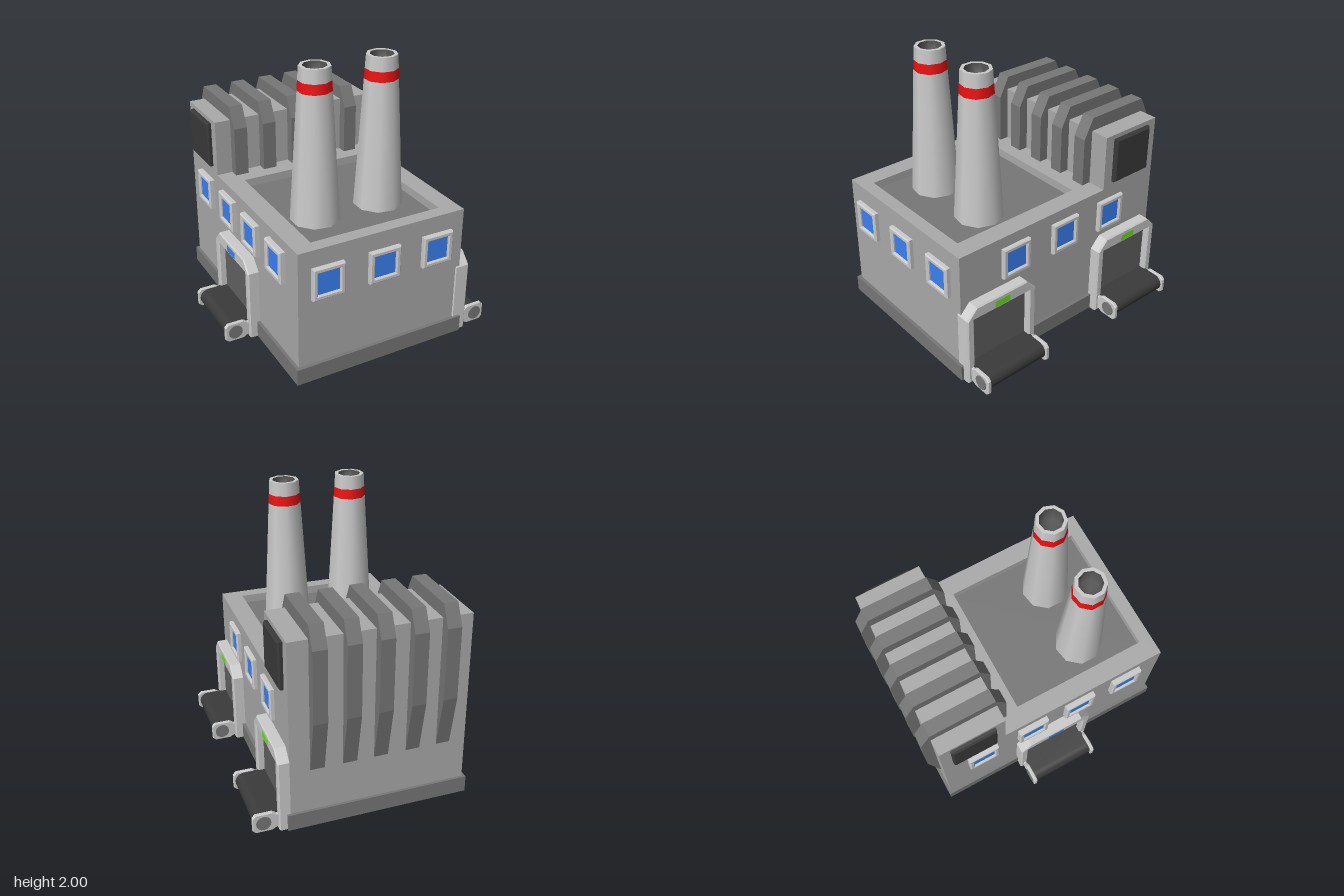
import * as THREE from 'three';
import { mergeGeometries, toCreasedNormals } from 'three/addons/utils/BufferGeometryUtils.js';

const mat = (color, side = THREE.FrontSide) => new THREE.MeshStandardMaterial({ color, side });
const M = {
  light: mat(0xcccccc), wall: mat(0xaaaaaa, THREE.DoubleSide), dark: mat(0x777777),
  door: mat(0x626262), black: mat(0x3a3a3a), glass: mat(0x3b82f6), red: mat(0xf01010),
  green: mat(0x70e028), stack: mat(0xcccccc, THREE.DoubleSide), soot: mat(0x555555, THREE.DoubleSide),
};

function add(parent, name, geometry, material, x = 0, y = 0, z = 0) {
  const mesh = new THREE.Mesh(geometry, material);
  mesh.name = name;
  mesh.position.set(x, y, z);
  parent.add(mesh);
  return mesh;
}

const shapeOf = pts => new THREE.Shape(pts.map(p => new THREE.Vector2(...p)));
const rect = (x0, x1, y0, y1) => [[x0, y0], [x1, y0], [x1, y1], [x0, y1]];

function extrude(shape, depth, bevel = 0) {
  return new THREE.ExtrudeGeometry(shape, {
    depth: depth - 2 * bevel, curveSegments: 8, bevelEnabled: bevel > 0, bevelSegments: 1,
    bevelSize: bevel, bevelThickness: bevel, bevelOffset: -bevel,
  }).translate(0, 0, bevel);
}

// Flat four-cornered panel, corners counter-clockwise seen from outside
function quad(...corners) {
  const g = new THREE.BufferGeometry();
  g.setAttribute('position', new THREE.Float32BufferAttribute([0, 1, 2, 0, 2, 3].flatMap(i => corners[i]), 3));
  g.computeVertexNormals();
  return g;
}

// Building shell, open underneath, with a raised rear block and a sunken roof
function buildShell() {
  const W = 0.63, F = 0.905, S = -0.37, B = -0.86, H = 0.98, T = 1.39;
  const panels = [
    quad([-W, 0, F], [W, 0, F], [W, H, F], [-W, H, F]),
    quad([W, 0, B], [-W, 0, B], [-W, T, B], [W, T, B]),
    quad([-W, H, S], [W, H, S], [W, T, S], [-W, T, S]),
    quad([-W, T, S], [W, T, S], [W, T, B], [-W, T, B]),
    quad([W, 0, F], [W, 0, S], [W, H, S], [W, H, F]),
    quad([W, 0, S], [W, 0, B], [W, T, B], [W, T, S]),
    quad([-W, 0, S], [-W, 0, F], [-W, H, F], [-W, H, S]),
    quad([-W, 0, B], [-W, 0, S], [-W, T, S], [-W, T, B]),
  ];
  // Roof rim and the inner walls of the sunken part
  const r = 0.49, f = 0.81, b = -0.2, D = 0.92;
  const outer = [[-W, F], [W, F], [W, S], [-W, S]];
  const inner = [[-r, f], [r, f], [r, b], [-r, b]];
  for (let i = 0; i < 4; i++) {
    const j = (i + 1) % 4;
    const at = (p, y) => [p[0], y, p[1]];
    panels.push(quad(at(outer[i], H), at(outer[j], H), at(inner[j], H), at(inner[i], H)));
    panels.push(quad(at(inner[i], H), at(inner[j], H), at(inner[j], D), at(inner[i], D)));
  }
  return mergeGeometries(panels);
}

function makeWindow(x, y, z, turn) {
  const g = new THREE.Group();
  g.name = 'window';
  const frame = shapeOf(rect(-0.117, 0.117, -0.117, 0.117));
  frame.holes.push(shapeOf(rect(-0.082, 0.082, -0.082, 0.082)));
  add(g, 'windowFrame', extrude(frame, 0.06, 0.008), M.light, 0, 0, -0.025);
  add(g, 'windowBack', new THREE.BoxGeometry(0.2, 0.2, 0.02), M.light, 0, 0, -0.014);
  add(g, 'windowPane', new THREE.BoxGeometry(0.19, 0.19, 0.02), M.glass, 0, 0, 0.008);
  g.position.set(x, y, z);
  g.rotation.y = turn;
  return g;
}

// Loading door with its conveyor; local +z points out of the wall
function makeDoor(z, turn, lamp) {
  const g = new THREE.Group();
  g.name = 'loadingDoor';
  const w = 0.292, i = 0.236;
  const frame = shapeOf([[-w, 0], [-i, 0], [-i, 0.515], [i, 0.515], [i, 0], [w, 0],
    [w, 0.525], [0.215, 0.607], [-0.215, 0.607], [-w, 0.525]]);
  add(g, 'doorFrame', extrude(frame, 0.115, 0.009), M.light, 0, 0, 0.595);
  add(g, 'doorPanel', new THREE.BoxGeometry(0.48, 0.52, 0.04), M.door, 0, 0.26, 0.64);
  add(g, 'doorLamp', new THREE.BoxGeometry(0.128, 0.048, 0.01), lamp, 0, 0.555, 0.707);

  // Belt with a rounded outer end
  const belt = new THREE.Shape();
  belt.moveTo(0.58, 0.012);
  belt.lineTo(0.812, 0.012);
  belt.absarc(0.812, 0.074, 0.062, -Math.PI / 2, Math.PI / 2, false);
  belt.lineTo(0.58, 0.136);
  const beltGeo = toCreasedNormals(extrude(belt, 0.5).translate(0, 0, -0.25).rotateY(-Math.PI / 2), 0.7);
  add(g, 'conveyorBelt', beltGeo, M.black);

  // Side plates with axle caps
  const plate = shapeOf([[0.58, 0.02], [0.72, 0.02], [0.75, 0.003], [0.865, 0.003], [0.887, 0.025],
    [0.887, 0.123], [0.865, 0.146], [0.75, 0.146], [0.72, 0.128], [0.58, 0.128]]);
  for (const s of [-1, 1]) {
    const plateGeo = extrude(plate, 0.028, 0.005).translate(0, 0, -0.014).rotateY(-Math.PI / 2);
    add(g, 'conveyorPlate', plateGeo, M.light, s * 0.256, 0, 0);
    const cap = new THREE.CylinderGeometry(0.052, 0.052, 0.012, 16).rotateZ(Math.PI / 2);
    add(g, 'axleCap', cap, M.dark, s * 0.27, 0.075, 0.812);
  }
  g.position.z = z;
  g.rotation.y = turn;
  return g;
}

// Tapered nine-sided chimney, hollow at the top
function makeChimney(x, z) {
  const g = new THREE.Group();
  g.name = 'chimney';
  const radius = y => 0.172 - (y - 0.92) * 0.0605;
  const ring = (name, pts, material) => add(g, name,
    new THREE.LatheGeometry(pts.map(p => new THREE.Vector2(...p)), 9, Math.PI / 2), material);
  const wall = (name, y0, y1, material) => ring(name, [[radius(y0), y0], [radius(y1), y1]], material);
  wall('chimneyShaft', 0.92, 1.835, M.stack);
  wall('chimneyBand', 1.835, 1.905, M.red);
  wall('chimneyTop', 1.905, 2, M.stack);
  ring('chimneyLip', [[radius(2), 2], [0.082, 2]], M.stack);
  ring('chimneyFlue', [[0.082, 2], [0.082, 1.85], [0, 1.85]], M.soot);
  g.position.set(x, 0, z);
  return g;
}

export function createModel() {
  const model = new THREE.Group();
  model.name = 'factory';
  add(model, 'building', buildShell(), M.wall);
  add(model, 'roofFloor', quad([-0.49, 0.92, 0.81], [0.49, 0.92, 0.81], [0.49, 0.92, -0.2], [-0.49, 0.92, -0.2]),
    mat(0x777777, THREE.DoubleSide));

  // Plinth running round the foot of the walls
  const plinth = shapeOf(rect(-0.653, 0.653, -0.93, 0.88));
  plinth.holes.push(shapeOf(rect(-0.625, 0.625, -0.9, 0.855)));
  add(model, 'plinth', extrude(plinth, 0.12).rotateX(-Math.PI / 2), M.dark);

  // Cooling fins wrapped over the rear block
  const fin = shapeOf([[-0.3, 0.975], [-0.3, 1.34], [-0.376, 1.488], [-0.86, 1.488],
    [-0.934, 1.34], [-0.934, 0.82], [-0.855, 0.41], [-0.8, 0.975]]);
  for (const x of [-0.463, -0.238, -0.008, 0.212, 0.44])
    add(model, 'coolingFin', extrude(fin, 0.1).translate(0, 0, -0.05).rotateY(-Math.PI / 2), M.dark, x);

  // Vent panels on both sides of the rear block
  for (const s of [-1, 1]) {
    const vent = extrude(shapeOf(rect(-0.168, 0.168, -0.168, 0.168)), 0.05, 0.012);
    add(model, 'ventPanel', vent, M.black, s * 0.613, 1.19, -0.613).rotation.y = s * Math.PI / 2;
  }

  // Windows
  for (const x of [-0.42, 0, 0.415]) model.add(makeWindow(x, 0.737, 0.905, 0));
  for (const z of [0.445, 0.005, -0.43]) model.add(makeWindow(0.627, 0.78, z, Math.PI / 2));
  for (const z of [0.615, 0.228, -0.155, -0.56]) model.add(makeWindow(-0.637, 0.79, z, -Math.PI / 2));

  // Loading doors
  model.add(makeDoor(0.62, Math.PI / 2, M.green));
  model.add(makeDoor(-0.568, Math.PI / 2, M.green));
  model.add(makeDoor(0.015, -Math.PI / 2, M.glass));

  for (const x of [-0.257, 0.237]) model.add(makeChimney(x, 0.435));
  return model;
}
